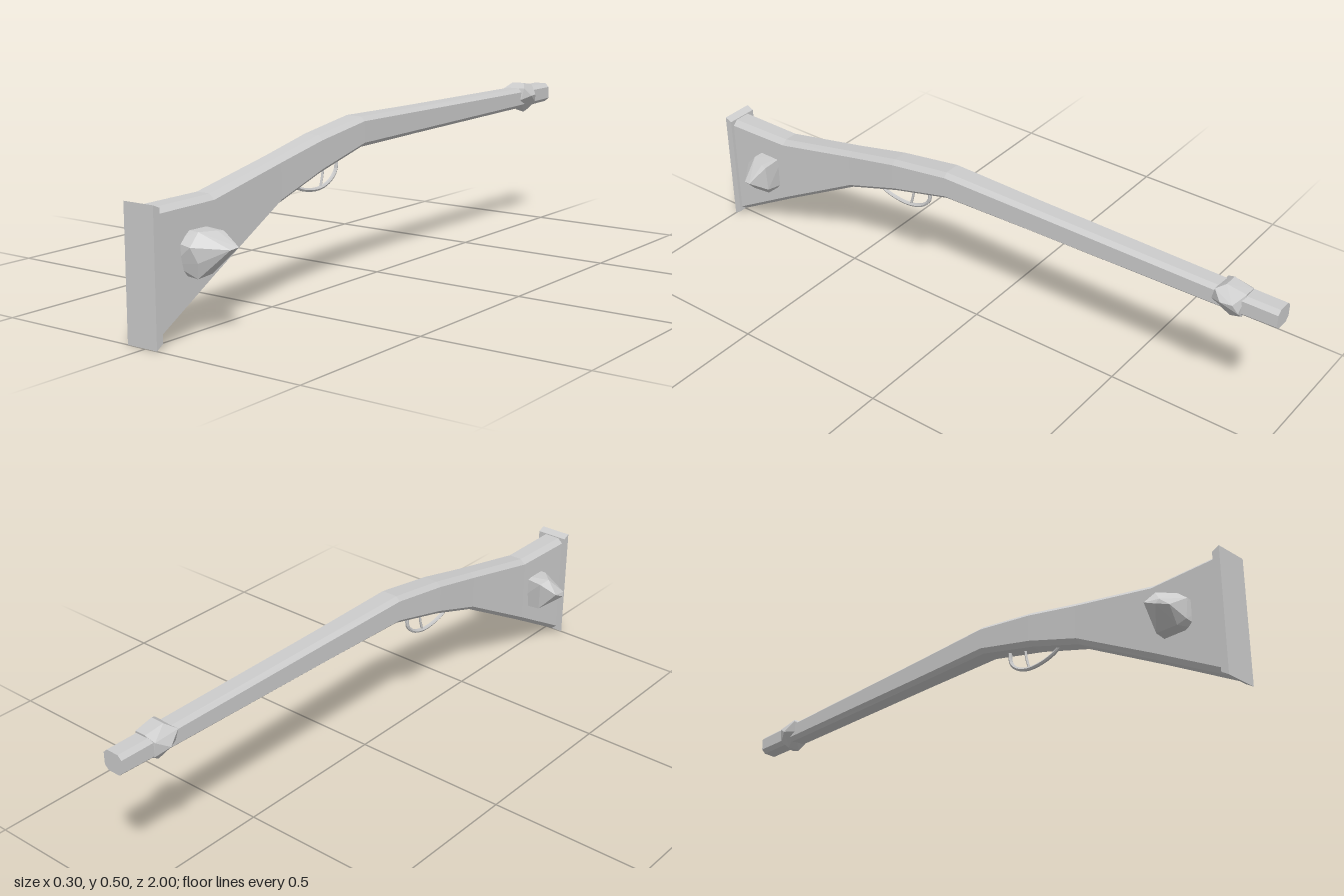
import * as THREE from 'three';
import { ConvexGeometry } from 'three/addons/geometries/ConvexGeometry.js';

const CX = -0.012; // centre plane of the long body

// Chamfered eight-sided sections, lofted from the muzzle to the butt
function loftBody(sections) {
  const rings = sections.map(([z, top, bottom, hw, ch, cv]) => [
    [hw, bottom + cv], [hw, top - cv], [hw - ch, top], [ch - hw, top],
    [-hw, top - cv], [-hw, bottom + cv], [ch - hw, bottom], [hw - ch, bottom],
  ].map(([x, y]) => [CX + x, y, z]));
  const pos = [];
  const tri = (a, b, c) => pos.push(...a, ...b, ...c);
  for (let i = 0; i < rings.length - 1; i++) {
    for (let j = 0; j < 8; j++) {
      const k = (j + 1) % 8;
      tri(rings[i][j], rings[i][k], rings[i + 1][k]);
      tri(rings[i][j], rings[i + 1][k], rings[i + 1][j]);
    }
  }
  const first = rings[0], last = rings[rings.length - 1];
  for (let j = 1; j < 7; j++) {
    tri(first[0], first[j + 1], first[j]);
    tri(last[0], last[j], last[j + 1]);
  }
  const geo = new THREE.BufferGeometry();
  geo.setAttribute('position', new THREE.Float32BufferAttribute(pos, 3));
  geo.computeVertexNormals();
  return geo;
}

const hull = (points) => new ConvexGeometry(points.map((p) => new THREE.Vector3(...p)));

export function createModel() {
  const model = new THREE.Group();
  const grey = new THREE.MeshStandardMaterial({ color: 0xcccccc, flatShading: true });
  grey.name = 'plain grey';
  const add = (name, geo) => {
    const mesh = new THREE.Mesh(geo, grey);
    mesh.name = name;
    model.add(mesh);
    return mesh;
  };

  // Barrel and stock: z, top, bottom, half width, chamfer across, chamfer up
  add('barrelAndStock', loftBody([
    [-1.0, 0.482, 0.42, 0.033, 0.013, 0.012],
    [-0.8, 0.482, 0.415, 0.034, 0.013, 0.012],
    [-0.2, 0.487, 0.406, 0.037, 0.014, 0.012],
    [0.1, 0.491, 0.401, 0.04, 0.014, 0.013],
    [0.3, 0.461, 0.35, 0.039, 0.015, 0.014],
    [0.48, 0.422, 0.291, 0.036, 0.015, 0.014],
    [0.76, 0.364, 0.137, 0.039, 0.017, 0.015],
    [0.985, 0.362, 0.01, 0.042, 0.017, 0.015],
  ]));

  // Butt plate with slanted ends
  const side = new THREE.Shape([[-1, 0], [-0.977, 0.015], [-0.977, 0.365], [-1, 0.375]]
    .map(([x, y]) => new THREE.Vector2(x, y)));
  const plate = new THREE.ExtrudeGeometry(side, { depth: 0.102, bevelEnabled: false });
  plate.rotateY(Math.PI / 2);
  plate.translate(-0.062, 0, 0);
  add('buttPlate', plate);

  // Faceted crystals set in both sides of the stock
  add('leftCrystal', hull([
    [0, 0.285, 0.79], [0, 0.286, 0.86], [0, 0.26, 0.893], [0, 0.2, 0.893], [0, 0.17, 0.87], [0, 0.18, 0.79],
    [0.08, 0.283, 0.81], [0.085, 0.28, 0.79], [0.06, 0.285, 0.86], [0.06, 0.25, 0.893],
    [0.148, 0.247, 0.805], [0.142, 0.243, 0.83],
    [0.075, 0.208, 0.88], [0.065, 0.164, 0.87], [0.06, 0.166, 0.81], [0.085, 0.2, 0.785],
  ]));
  add('rightCrystal', hull([
    [0, 0.285, 0.79], [0, 0.286, 0.86], [0, 0.25, 0.893], [0, 0.19, 0.89], [0, 0.178, 0.86], [0, 0.18, 0.79],
    [-0.11, 0.288, 0.82], [-0.1, 0.28, 0.785], [-0.07, 0.287, 0.86], [-0.065, 0.262, 0.89],
    [-0.148, 0.248, 0.81], [-0.15, 0.228, 0.85], [-0.13, 0.222, 0.88], [-0.145, 0.24, 0.86],
    [-0.09, 0.18, 0.87], [-0.09, 0.182, 0.8], [-0.075, 0.197, 0.89],
  ]));

  // Rough nugget round the barrel near the muzzle
  add('muzzleNugget', hull([
    [-0.03, 0.498, -0.84], [0.013, 0.499, -0.84], [-0.025, 0.488, -0.9], [0.01, 0.488, -0.9],
    [-0.052, 0.476, -0.81], [0.03, 0.483, -0.815], [-0.065, 0.445, -0.85], [-0.05, 0.47, -0.89],
    [0.045, 0.457, -0.84], [0.04, 0.458, -0.875], [0.025, 0.445, -0.805], [-0.045, 0.44, -0.815],
    [0.03, 0.43, -0.89], [-0.045, 0.425, -0.89],
    [0.005, 0.397, -0.855], [-0.03, 0.402, -0.865], [0.005, 0.407, -0.89],
  ]));

  // Trigger guard and trigger
  const tube = (name, points, radius) => {
    const path = new THREE.CatmullRomCurve3(points.map(([z, y]) => new THREE.Vector3(CX, y, z)));
    add(name, new THREE.TubeGeometry(path, points.length * 3, radius, 6));
  };
  tube('triggerGuard', [
    [0.395, 0.333], [0.36, 0.313], [0.31, 0.301], [0.26, 0.301], [0.215, 0.317], [0.19, 0.343], [0.185, 0.385],
  ], 0.006);
  tube('trigger', [[0.248, 0.372], [0.252, 0.34], [0.262, 0.304]], 0.004);

  return model;
}
